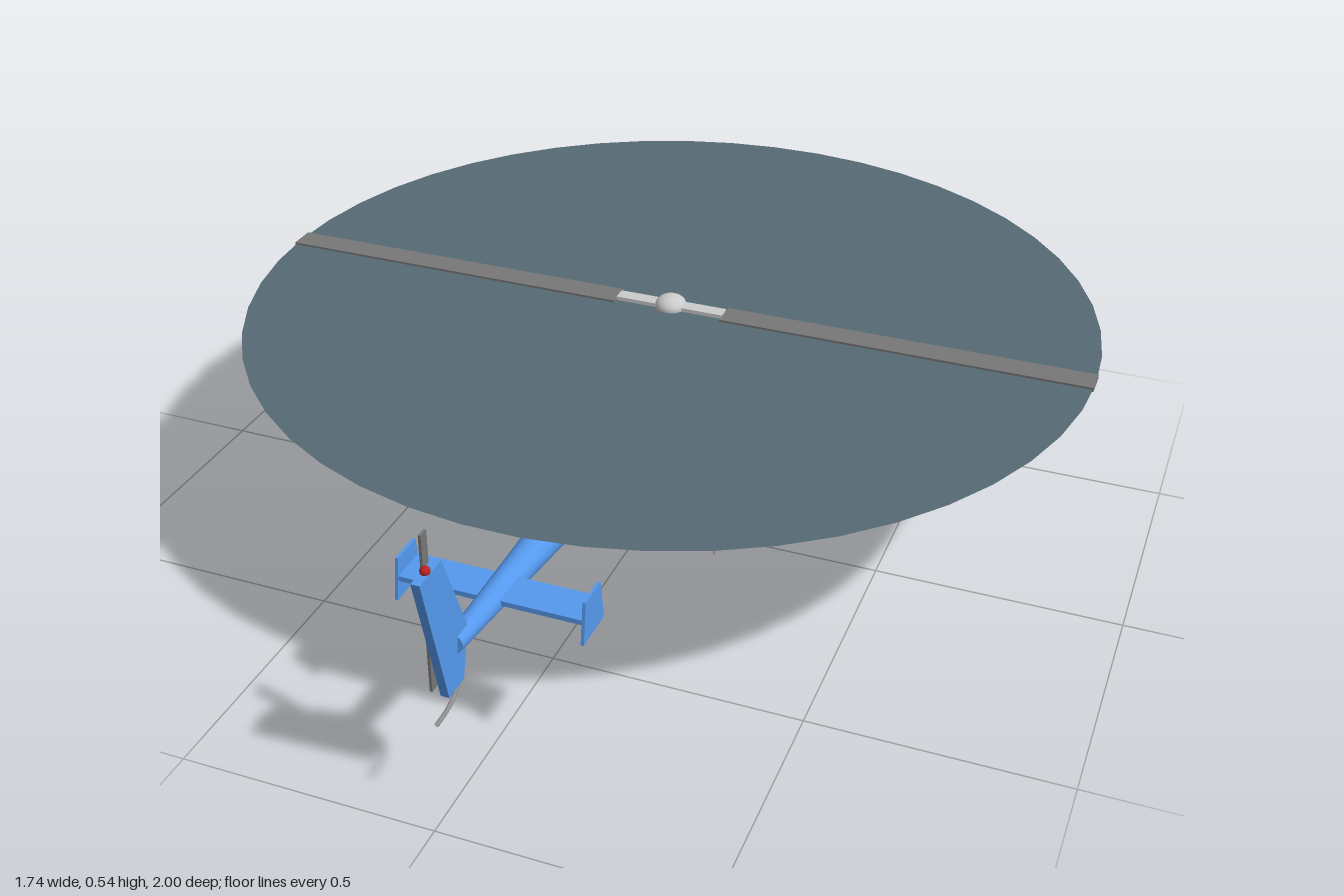
import * as THREE from 'three';

const mat = (color) => new THREE.MeshStandardMaterial({ color, side: THREE.DoubleSide });
const blue = mat(0x5599ee), glass = mat(0x566b75), grey = mat(0xcccccc);
const bladeGrey = mat(0x777777), metal = mat(0x909090), dark = mat(0x2c3238), red = mat(0xbb2222);

// Smooth body through oval sections [z, bottom, top, halfWidth], listed from rear to nose
function loft(rows, power = 2, steps = 28, sides = 36) {
  const low = new THREE.CatmullRomCurve3(rows.map(r => new THREE.Vector3(r[0], r[1], 0)));
  const high = new THREE.CatmullRomCurve3(rows.map(r => new THREE.Vector3(r[0], r[2], r[3])));
  const pos = [], index = [];
  const bend = (v) => Math.sign(v) * Math.pow(Math.abs(v), 2 / power);
  const ring = (t) => {
    const a = low.getPoint(t), b = high.getPoint(t);
    for (let j = 0; j < sides; j++) {
      const q = (j / sides) * Math.PI * 2;
      pos.push(b.z * bend(Math.cos(q)), (a.y + b.y) / 2 + (b.y - a.y) / 2 * bend(Math.sin(q)), b.x);
    }
  };
  for (let i = 0; i <= steps; i++) ring(i / steps);
  for (let i = 0; i < steps; i++) for (let j = 0; j < sides; j++) {
    const k = (j + 1) % sides, a = i * sides, b = a + sides;
    index.push(a + j, b + j, a + k, a + k, b + j, b + k);
  }
  // separate end caps keep their rims sharp
  for (const end of [0, 1]) {
    const s = pos.length / 3;
    ring(end);
    for (let j = 1; j < sides - 1; j++) index.push(s, s + (end ? j + 1 : j), s + (end ? j : j + 1));
  }
  const g = new THREE.BufferGeometry();
  g.setAttribute('position', new THREE.Float32BufferAttribute(pos, 3));
  g.setIndex(index);
  g.computeVertexNormals();
  return g;
}

// Tapered round bar between two points
function bar(a, b, ra, rb = ra, sides = 20) {
  const p = new THREE.Vector3(...a), q = new THREE.Vector3(...b), d = q.clone().sub(p);
  const g = new THREE.CylinderGeometry(rb, ra, d.length(), sides);
  g.applyQuaternion(new THREE.Quaternion().setFromUnitVectors(new THREE.Vector3(0, 1, 0), d.normalize()));
  const m = p.add(q).multiplyScalar(0.5);
  return g.translate(m.x, m.y, m.z);
}

function tube(points, r, steps = 24) {
  const c = new THREE.CatmullRomCurve3(points.map(p => new THREE.Vector3(...p)), false, 'catmullrom', 0.3);
  return new THREE.TubeGeometry(c, steps, r, 10);
}

// Plate outlined by [z, y] points, with thickness along x
function sidePlate(points, thick) {
  const s = new THREE.Shape(points.map(([z, y]) => new THREE.Vector2(-z, y)));
  return new THREE.ExtrudeGeometry(s, { depth: thick, bevelEnabled: false })
    .translate(0, 0, -thick / 2).rotateY(Math.PI / 2);
}

export function createModel() {
  const group = new THREE.Group();
  const add = (name, geo, material, x = 0, y = 0, z = 0) => {
    const m = new THREE.Mesh(geo, material);
    m.name = name;
    m.position.set(x, y, z);
    group.add(m);
    return m;
  };
  const box = (w, h, d) => new THREE.BoxGeometry(w, h, d);
  const ball = (r) => new THREE.SphereGeometry(r, 16, 12);

  // Fuselage
  const hull = [[0.12, 0.065, 0.175, 0.065], [0.09, 0.06, 0.182, 0.1], [0, 0.056, 0.188, 0.128],
    [-0.15, 0.053, 0.188, 0.135], [-0.33, 0.053, 0.18, 0.131], [-0.46, 0.06, 0.172, 0.1],
    [-0.53, 0.08, 0.16, 0.058], [-0.555, 0.11, 0.135, 0.012]];
  add('hull', loft(hull, 2.2), blue);
  add('hullRail', loft(hull.map(([z, , , w]) => [z, 0.133, 0.149, w + 0.003])), blue);
  add('canopy', loft([[-0.06, 0.13, 0.22, 0.09], [-0.1, 0.11, 0.285, 0.116], [-0.17, 0.1, 0.33, 0.128],
    [-0.29, 0.1, 0.344, 0.13], [-0.41, 0.1, 0.322, 0.113], [-0.49, 0.11, 0.272, 0.083],
    [-0.535, 0.12, 0.21, 0.046], [-0.55, 0.14, 0.165, 0.01]]), glass);
  add('doorFrame', loft([[-0.172, 0.1, 0.334, 0.1315], [-0.177, 0.1, 0.337, 0.132],
    [-0.183, 0.1, 0.34, 0.1325]], 2, 4), blue);
  add('roofStrip', box(0.02, 0.006, 0.1), blue, 0, 0.344, -0.24);

  // Engine bay behind the cabin
  const bay = new THREE.Shape([[-0.105, 0.17], [0.105, 0.17], [0.062, 0.335], [-0.062, 0.335]]
    .map(p => new THREE.Vector2(...p)));
  add('engineBay', new THREE.ExtrudeGeometry(bay,
    { depth: 0.18, bevelSize: 0.008, bevelThickness: 0.008, bevelSegments: 2 }), blue, 0, 0, -0.085);
  add('engineCowl', loft([[0.15, 0.35, 0.385, 0.03], [0.1, 0.338, 0.398, 0.06], [0, 0.33, 0.405, 0.074],
    [-0.1, 0.335, 0.4, 0.066], [-0.145, 0.348, 0.387, 0.04], [-0.165, 0.362, 0.373, 0.01]]), blue);
  add('exhaust', bar([-0.01, 0.37, 0.13], [-0.03, 0.38, 0.2], 0.021, 0.025), metal);
  add('exhaustOpening', bar([-0.0302, 0.3802, 0.2], [-0.0304, 0.3803, 0.202], 0.02), dark);

  // Main rotor
  const rz = -0.13;
  add('mast', bar([0, 0.37, rz], [0, 0.45, rz], 0.016), grey);
  add('swashPlate', new THREE.CylinderGeometry(0.03, 0.02, 0.012, 24), grey, 0, 0.428, rz);
  add('rotorHub', ball(0.033), grey, 0, 0.455, rz).scale.y = 0.7;
  add('rotorDisc', new THREE.CircleGeometry(0.87, 50).rotateX(-Math.PI / 2), glass, 0, 0.452, rz);

  // Tail boom, fin and stabilizer
  add('tailBoom', bar([0, 0.266, 0.09], [0, 0.322, 0.89], 0.053, 0.018, 28), blue);
  add('tailFin', sidePlate([[1, 0.518], [0.925, 0.518], [0.85, 0.335], [0.875, 0.24], [0.93, 0.24]], 0.016), blue);
  add('tailLight', ball(0.009), red, 0, 0.522, 0.965);
  add('stabilizer', box(0.36, 0.01, 0.075), blue, 0, 0.317, 0.717);
  add('tailSkid', tube([[0, 0.25, 0.87], [0, 0.22, 0.895], [0, 0.208, 0.93], [0, 0.207, 0.965]], 0.004), metal);

  // Tail rotor on the right side of the fin
  add('tailRotorShaft', bar([0, 0.38, 0.895], [-0.05, 0.38, 0.895], 0.012), grey);
  add('tailRotorBlades', box(0.005, 0.32, 0.02), bladeGrey, -0.04, 0.38, 0.895);

  // Belly details
  add('bellyLight', ball(0.01), red, 0, 0.053, -0.02);
  add('landingLight', ball(0.014), grey, 0, 0.071, -0.49);
  add('bellyPanel', new THREE.CylinderGeometry(0.05, 0.05, 0.006, 28), dark, 0, 0.054, -0.24);

  // Paired parts
  for (const s of [-1, 1]) {
    add('rotorGrip', box(0.115, 0.014, 0.03), grey, s * 0.0575, 0.453, rz);
    add('rotorBlade', box(0.755, 0.009, 0.055), bladeGrey, s * 0.4925, 0.452, rz);
    add('stabilizerEndPlate', sidePlate([[0.75, 0.357], [0.685, 0.357], [0.672, 0.275], [0.762, 0.275]], 0.006),
      blue, s * 0.177);
    add('airIntake', bar([s * 0.056, 0.366, -0.04], [s * 0.056, 0.366, -0.105], 0.017), metal);
    add('sideLight', ball(0.008), red, s * 0.134, 0.155, -0.3);
    add('step', box(0.03, 0.006, 0.05), dark, s * 0.135, 0.072, -0.19);

    // Landing skid with its upturned front
    add('skid', tube([[s * 0.168, 0.009, 0.07], [s * 0.168, 0.009, -0.15], [s * 0.168, 0.009, -0.37],
      [s * 0.168, 0.014, -0.44], [s * 0.168, 0.032, -0.48], [s * 0.168, 0.062, -0.5]], 0.008, 40), metal);
    for (const z of [-0.045, -0.315])
      add('skidLeg', tube([[s * 0.08, 0.088, z], [s * 0.125, 0.08, z], [s * 0.158, 0.058, z],
        [s * 0.168, 0.01, z]], 0.007), metal);
  }
  return group;
}
